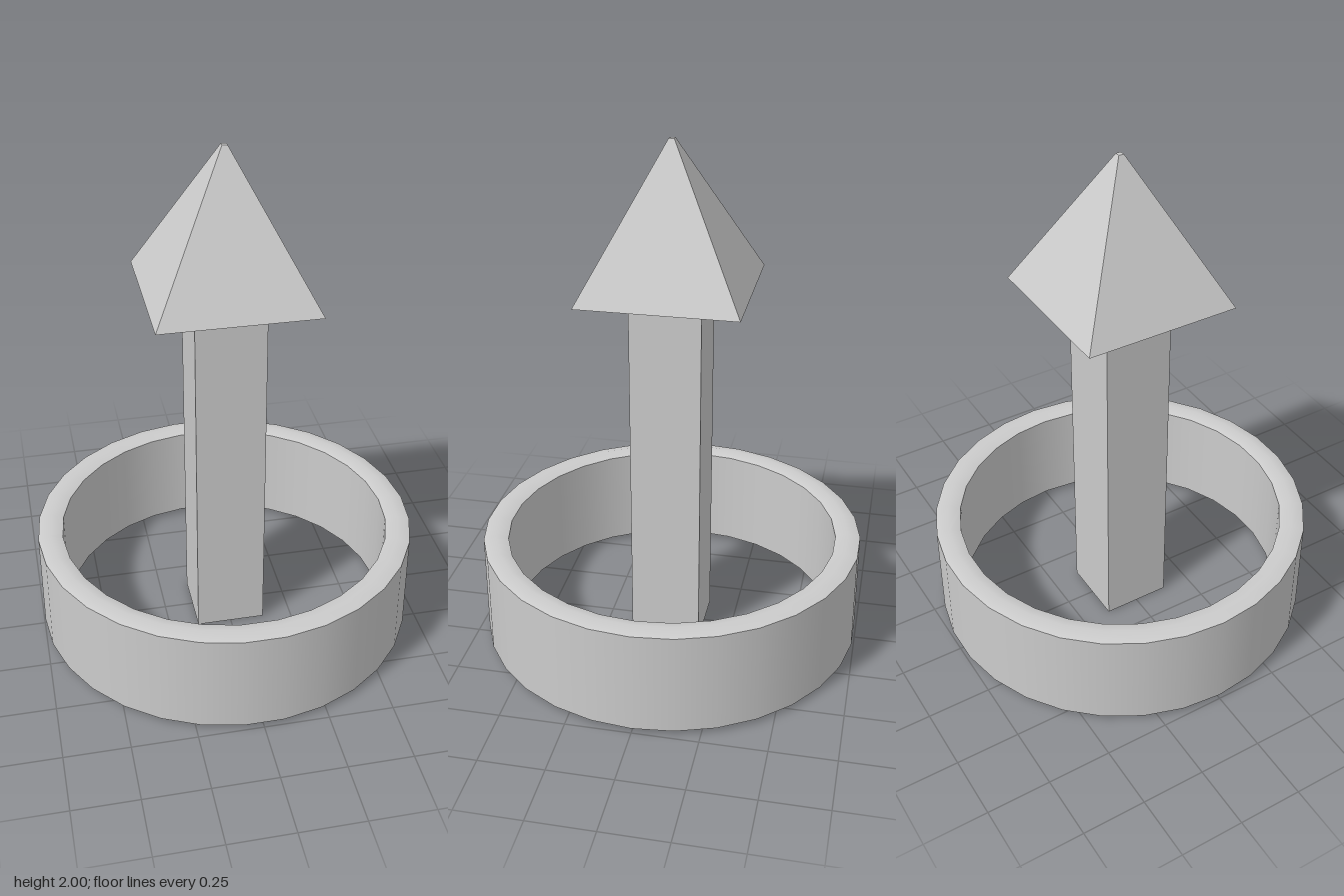
import * as THREE from 'three';

const SIDES = 30;
const material = new THREE.MeshStandardMaterial({ color: 0xcccccc });
const flatMaterial = new THREE.MeshStandardMaterial({ color: 0xcccccc, flatShading: true });

// One smooth band of the ring, from [radius, y] points
function band(name, points) {
  const profile = points.map(([r, y]) => new THREE.Vector2(r, y));
  // Turned so that a corner lies on the x axis
  const geometry = new THREE.LatheGeometry(profile, SIDES).rotateY(Math.PI / 2);
  const mesh = new THREE.Mesh(geometry, material);
  mesh.name = name;
  return mesh;
}

// Square post or pyramid with sides parallel to the axes
function squarePart(name, topHalf, bottomHalf, y0, y1) {
  const geometry = new THREE.CylinderGeometry(
    topHalf * Math.SQRT2, bottomHalf * Math.SQRT2, y1 - y0, 4
  );
  geometry.rotateY(Math.PI / 4).translate(0, (y0 + y1) / 2, 0);
  const mesh = new THREE.Mesh(geometry, flatMaterial);
  mesh.name = name;
  return mesh;
}

export function createModel() {
  const model = new THREE.Group();
  model.name = 'arrowInRing';

  // Ring: straight walls with softly ridged rims above and below
  const outer = 0.747, middle = 0.697, inner = 0.65;
  const low = 0.018, high = 0.42, top = 0.435;
  const ring = new THREE.Group();
  ring.name = 'ring';
  ring.add(
    band('outerWall', [[outer, low], [outer, high]]),
    band('topRim', [[outer, high], [middle, top], [inner, high]]),
    band('innerWall', [[inner, high], [inner, low]]),
    band('bottomRim', [[inner, low], [middle, 0], [outer, low]])
  );

  // Upright arrow standing in the middle
  const arrow = new THREE.Group();
  arrow.name = 'arrow';
  arrow.add(
    squarePart('shaft', 0.135, 0.135, 0, 1.45),
    squarePart('arrowHead', 0.01, 0.3, 1.45, 2)
  );

  model.add(ring, arrow);
  return model;
}
